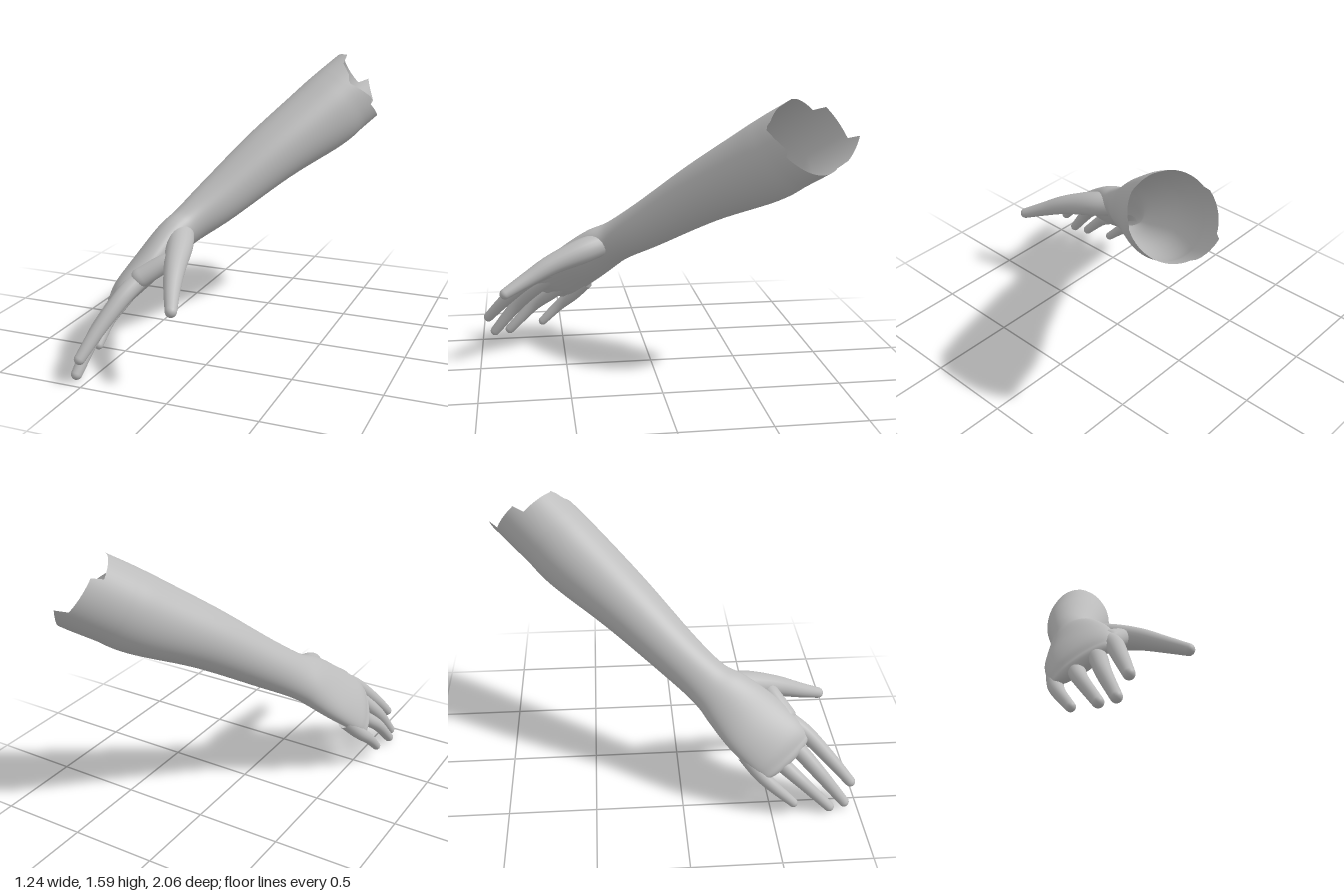
import * as THREE from 'three';

const skin = new THREE.MeshStandardMaterial({ color: 0xbcbcbc, side: THREE.DoubleSide });
skin.name = 'plain grey';

// Smooth loft. Each section: [centre xyz, width axis xyz, half width, half thickness].
// rim(angle, centre) moves the first ring along the axis; the last ring gets a rounded cap.
function loft(name, sections, around, steps, rim) {
  const track = (f) => new THREE.CatmullRomCurve3(sections.map(f), false, 'catmullrom', 0.5);
  const centres = track((s) => new THREE.Vector3(s[0], s[1], s[2]));
  const axes = track((s) => new THREE.Vector3(s[3], s[4], s[5]));
  const sizes = track((s) => new THREE.Vector3(s[6], s[7], 0));
  const pos = [], idx = [];
  let rows = 0;
  const ring = (c, u, v, w, t, shift) => {
    for (let j = 0; j < around; j++) {
      const a = (j / around) * Math.PI * 2;
      const p = c.clone().addScaledVector(u, w * Math.cos(a)).addScaledVector(v, t * Math.sin(a));
      if (shift) p.add(shift(a, c));
      pos.push(p.x, p.y, p.z);
    }
    rows++;
  };
  let c, u, v, T, size;
  for (let i = 0; i <= steps; i++) {
    const k = i / steps;
    c = centres.getPoint(k);
    T = centres.getTangent(k);
    u = axes.getPoint(k);
    u.addScaledVector(T, -u.dot(T)).normalize();
    v = u.clone().cross(T).normalize();
    size = sizes.getPoint(k);
    if (i === 0 && rim) ring(c, u, v, size.x, size.y, rim);
    ring(c, u, v, size.x, size.y);
  }
  const caps = 6;
  for (let i = 1; i <= caps; i++) {
    const a = (i / caps) * Math.PI / 2, f = Math.max(Math.cos(a), 0.01);
    ring(c.clone().addScaledVector(T, size.y * Math.sin(a)), u, v, size.x * f, size.y * f);
  }
  for (let i = 0; i < rows - 1; i++) {
    for (let j = 0; j < around; j++) {
      const a = i * around + j, b = i * around + (j + 1) % around;
      idx.push(a, a + around, b, b, a + around, b + around);
    }
  }
  const g = new THREE.BufferGeometry();
  g.setAttribute('position', new THREE.Float32BufferAttribute(pos, 3));
  g.setIndex(idx);
  g.computeVertexNormals();
  const mesh = new THREE.Mesh(g, skin);
  mesh.name = name;
  return mesh;
}

// Ragged open end of the forearm: [degrees, distance along the arm]
const armAxis = new THREE.Vector3(0.52, 0.52, -0.68).normalize();
const rimSteps = [[0, 1.52], [10, 1.53], [14, 1.46], [45, 1.41], [50, 1.375], [95, 1.45], [100, 1.42],
  [160, 1.49], [200, 1.54], [204, 1.6], [240, 1.69], [244, 1.62], [300, 1.6], [306, 1.53], [361, 1.52]];
function raggedRim(a, centre) {
  const deg = THREE.MathUtils.radToDeg(a);
  const i = rimSteps.findIndex((r) => r[0] > deg);
  const [d0, s0] = rimSteps[i - 1], [d1, s1] = rimSteps[i];
  const s = s0 + (s1 - s0) * (deg - d0) / (d1 - d0);
  return armAxis.clone().multiplyScalar(s - centre.dot(armAxis));
}

// Round digit through points [x, y, z, radius]
function digit(name, points) {
  return loft(name, points.map(([x, y, z, r]) => [x, y, z, 0.43, 0.43, 0.8, r, r]), 20, 24);
}

export function createModel() {
  const model = new THREE.Group();
  model.name = 'forearmAndHand';

  // Forearm, wrist and palm in one skin
  model.add(loft('forearmAndPalm', [
    [0.395, 1.33, -0.69, -0.316, 0.854, 0.41, 0.223, 0.2],
    [0.302, 1.235, -0.572, -0.28, 0.85, 0.44, 0.22, 0.2],
    [0.089, 1.046, -0.296, -0.1, 0.8, 0.55, 0.178, 0.175],
    [-0.129, 0.82, -0.008, 0.15, 0.72, 0.66, 0.143, 0.137],
    [-0.25, 0.70, 0.155, 0.335, 0.604, 0.719, 0.137, 0.107],
    [-0.315, 0.63, 0.26, 0.42, 0.53, 0.74, 0.168, 0.1],
    [-0.39, 0.515, 0.395, 0.51, 0.46, 0.72, 0.2, 0.09],
    [-0.47, 0.4, 0.525, 0.43, 0.43, 0.8, 0.197, 0.07],
    [-0.505, 0.345, 0.58, 0.43, 0.43, 0.8, 0.175, 0.045],
  ], 60, 64, raggedRim));

  // Fingers, from knuckle to tip
  model.add(digit('indexFinger', [
    [-0.35, 0.5, 0.59, 0.055], [-0.4, 0.42, 0.71, 0.048], [-0.472, 0.275, 0.855, 0.039], [-0.52, 0.155, 0.962, 0.03]]));
  model.add(digit('middleFinger', [
    [-0.42, 0.44, 0.56, 0.055], [-0.47, 0.345, 0.67, 0.047], [-0.53, 0.215, 0.79, 0.04], [-0.565, 0.045, 0.925, 0.03]]));
  model.add(digit('ringFinger', [
    [-0.47, 0.39, 0.47, 0.053], [-0.525, 0.295, 0.57, 0.045], [-0.575, 0.2, 0.68, 0.037], [-0.597, 0.042, 0.832, 0.029]]));
  model.add(digit('littleFinger', [
    [-0.5, 0.37, 0.35, 0.05], [-0.555, 0.27, 0.43, 0.042], [-0.59, 0.19, 0.515, 0.034], [-0.6, 0.085, 0.622, 0.026]]));

  // Thumb with its fleshy base, and the web to the index finger
  model.add(digit('thumb', [
    [-0.25, 0.68, 0.25, 0.07], [-0.2, 0.645, 0.39, 0.075], [-0.145, 0.585, 0.57, 0.06],
    [-0.095, 0.515, 0.715, 0.045], [-0.04, 0.45, 0.845, 0.032]]));
  model.add(digit('thumbWeb', [
    [-0.17, 0.6, 0.5, 0.05], [-0.24, 0.575, 0.535, 0.052], [-0.34, 0.51, 0.6, 0.055]]));

  return model;
}
